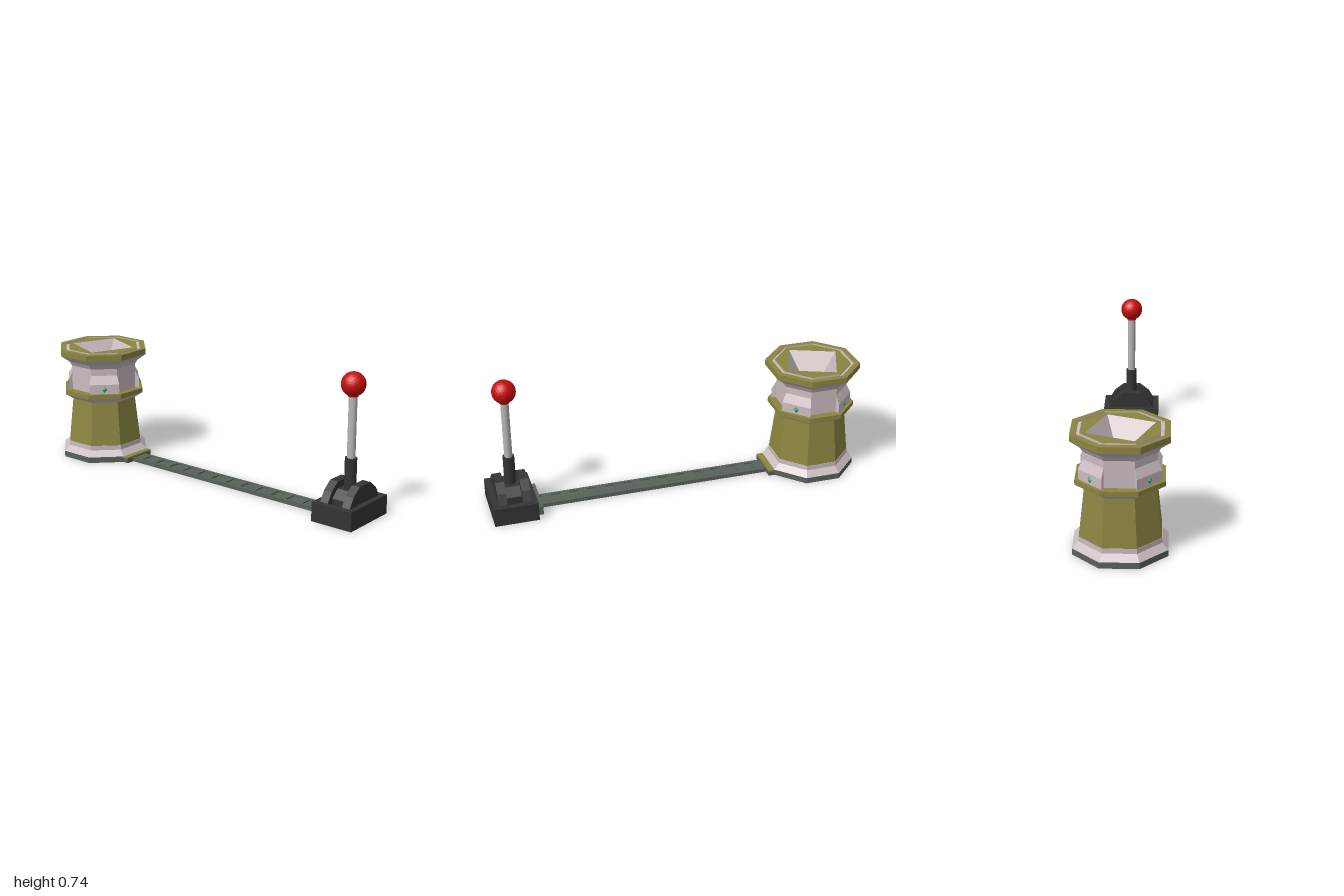
import * as THREE from 'three';

const mat = (name, color, side = THREE.FrontSide) => {
  const m = new THREE.MeshStandardMaterial({ color, side });
  m.name = name;
  return m;
};
const olive = mat('olive', 0x8c8540, THREE.DoubleSide);
const pink = mat('pale stone', 0xcbbdc1, THREE.DoubleSide);
const slate = mat('slate green', 0x58635a, THREE.DoubleSide);
const black = mat('charcoal', 0x343434);
const steel = mat('steel', 0xb6b6b6);
const red = mat('red', 0xc60c0c);
const green = mat('gem green', 0x45a873);

function add(parent, name, geometry, material, x = 0, y = 0, z = 0) {
  const mesh = new THREE.Mesh(geometry, material);
  mesh.name = name;
  mesh.position.set(x, y, z);
  parent.add(mesh);
  return mesh;
}

// Faceted copy of a geometry
function flat(geometry) {
  const g = geometry.index ? geometry.toNonIndexed() : geometry;
  g.computeVertexNormals();
  return g;
}

const box = (w, h, d) => new THREE.BoxGeometry(w, h, d);
const polygon = (pts) => new THREE.Shape(pts.map(([x, y]) => new THREE.Vector2(x, y)));
const extrude = (shape, depth) => new THREE.ExtrudeGeometry(shape, { depth, bevelEnabled: false });

// Octagonal surface from [apothem, height] pairs; sides face the axes
const CORNER = Math.cos(Math.PI / 8);
function octagon(pts, start = Math.PI / 8, sides = 8) {
  const profile = pts.map(([a, y]) => new THREE.Vector2(a / CORNER, y));
  return flat(new THREE.LatheGeometry(profile, sides, start, sides * Math.PI / 4));
}

function buildTower() {
  const tower = new THREE.Group();
  tower.name = 'tower';

  add(tower, 'footPlate', octagon([[0, 0], [0.228, 0], [0.228, 0.032]]), slate);
  add(tower, 'footMoulding', octagon([[0.228, 0.032], [0.198, 0.063], [0.198, 0.088], [0.195, 0.088]]), pink);
  add(tower, 'lowerWall', octagon([[0.196, 0.088], [0.17, 0.33]]), olive);
  add(tower, 'bandFlare', octagon([[0.17, 0.33], [0.212, 0.36]]), pink);
  add(tower, 'middleBand', octagon([[0.212, 0.36], [0.212, 0.385], [0.165, 0.385]]), olive);
  add(tower, 'upperWall', octagon([[0.173, 0.385], [0.173, 0.52], [0.188, 0.545], [0.232, 0.58]]), pink);
  add(tower, 'topRim', octagon([[0.232, 0.58], [0.232, 0.612], [0.203, 0.612]]), olive);
  add(tower, 'rimGroove', octagon([[0.203, 0.612], [0.203, 0.602], [0.186, 0.602], [0.186, 0.613]]), pink);

  // Bulging diagonal panels with a gem on each
  const bulge = [[0.195, 0.385], [0.195, 0.437], [0.173, 0.483]];
  const cheek = polygon([[0.16, 0.385], ...bulge, [0.16, 0.483]].map(([a, y]) => [a / CORNER, y]));
  for (let i = 0; i < 4; i++) {
    const start = Math.PI / 8 + i * Math.PI / 2;
    add(tower, 'bulgePanel', octagon(bulge, start, 1), pink);
    for (const angle of [start, start + Math.PI / 4]) {
      add(tower, 'bulgeCheek', new THREE.ShapeGeometry(cheek), pink).rotation.y = angle - Math.PI / 2;
    }
    const mid = start + Math.PI / 8;
    const gem = add(tower, 'gem', new THREE.OctahedronGeometry(1), green,
      Math.sin(mid) * 0.195, 0.41, Math.cos(mid) * 0.195);
    gem.scale.set(0.015, 0.019, 0.009);
    gem.rotation.y = mid;
  }

  // Top panel with a turned square opening and a pyramid pit
  const corners = [[-0.07, -0.162], [0.162, -0.07], [0.07, 0.162], [-0.162, 0.07]];
  const ring = [];
  for (let i = 0; i < 8; i++) {
    const a = Math.PI / 8 + i * Math.PI / 4;
    ring.push([Math.cos(a) * 0.186 / CORNER, Math.sin(a) * 0.186 / CORNER]);
  }
  const panel = polygon(ring);
  panel.holes.push(new THREE.Path(corners.map(([x, z]) => new THREE.Vector2(x, -z))));
  add(tower, 'topPanel', new THREE.ShapeGeometry(panel), olive, 0, 0.613, 0).rotation.x = -Math.PI / 2;
  const pit = [];
  corners.forEach(([x, z], i) => {
    const [x2, z2] = corners[(i + 1) % 4];
    pit.push(x, 0.613, z, x2, 0.613, z2, 0, 0.41, 0);
  });
  const pitGeometry = new THREE.BufferGeometry();
  pitGeometry.setAttribute('position', new THREE.Float32BufferAttribute(pit, 3));
  // Wind the faces towards the open top
  const p = pitGeometry.attributes.position;
  for (let i = 0; i < p.count; i += 3) {
    const a = new THREE.Vector3().fromBufferAttribute(p, i);
    const b = new THREE.Vector3().fromBufferAttribute(p, i + 1);
    p.setXYZ(i, b.x, b.y, b.z);
    p.setXYZ(i + 1, a.x, a.y, a.z);
  }
  add(tower, 'topPit', flat(pitGeometry), pink);
  return tower;
}

function buildTrack() {
  const track = new THREE.Group();
  track.name = 'track';
  add(track, 'trackBed', box(0.1, 0.012, 1.29), slate, 0, 0.006, 0.105);
  for (const s of [-1, 1]) add(track, 'trackRail', box(0.014, 0.021, 1.29), slate, s * 0.043, 0.0105, 0.105);
  for (let i = 0; i < 13; i++) {
    add(track, 'trackRung', box(0.076, 0.018, 0.052), slate, 0, 0.0105, -0.48 + i * 0.098);
  }
  add(track, 'leverBracket', box(0.23, 0.05, 0.03), slate, 0, 0.025, 0.755);
  add(track, 'towerBracket', box(0.19, 0.024, 0.05), slate, 0, 0.012, -0.532);
  add(track, 'towerBracketCap', box(0.19, 0.008, 0.05), olive, 0, 0.028, -0.532);
  return track;
}

function buildLever() {
  const lever = new THREE.Group();
  lever.name = 'lever';

  // Open frame, seen through from above at both ends of the slot
  const frame = polygon([[-0.16, -0.115], [0.16, -0.115], [0.16, 0.115], [-0.16, 0.115]]);
  frame.holes.push(polygon([[-0.13, -0.085], [-0.13, 0.085], [0.13, 0.085], [0.13, -0.085]]));
  add(lever, 'baseFrame', extrude(frame, 0.1), black).rotation.x = -Math.PI / 2;

  // Side arches and the lower rocker between them
  const arch = polygon([[-0.13, 0.05], [0.13, 0.05], [0.13, 0.1], [0.1, 0.15], [0.048, 0.19],
    [-0.048, 0.19], [-0.1, 0.15], [-0.13, 0.1]]);
  for (const z of [-0.085, 0.04]) add(lever, 'sideArch', extrude(arch, 0.045), black, 0, 0, z);
  const rocker = polygon([[-0.092, 0.05], [0.092, 0.05], [0.092, 0.115], [0.05, 0.155],
    [-0.05, 0.155], [-0.092, 0.115]]);
  add(lever, 'rocker', extrude(rocker, 0.08), black, 0, 0, -0.04);

  add(lever, 'leverSocket', new THREE.CylinderGeometry(0.03, 0.03, 0.17, 24), black, 0, 0.225, 0);
  add(lever, 'leverShaft', new THREE.CylinderGeometry(0.021, 0.021, 0.33, 24), steel, 0, 0.465, 0);
  add(lever, 'knobCollar', new THREE.CylinderGeometry(0.026, 0.026, 0.012, 16), red, 0, 0.624, 0);
  add(lever, 'knob', flat(new THREE.IcosahedronGeometry(0.061, 4)), red, 0, 0.679, 0);
  return lever;
}

export function createModel() {
  const model = new THREE.Group();
  model.name = 'leverAndTower';
  const tower = buildTower();
  tower.position.z = -0.768;
  const lever = buildLever();
  lever.position.z = 0.885;
  model.add(tower, buildTrack(), lever);
  return model;
}
